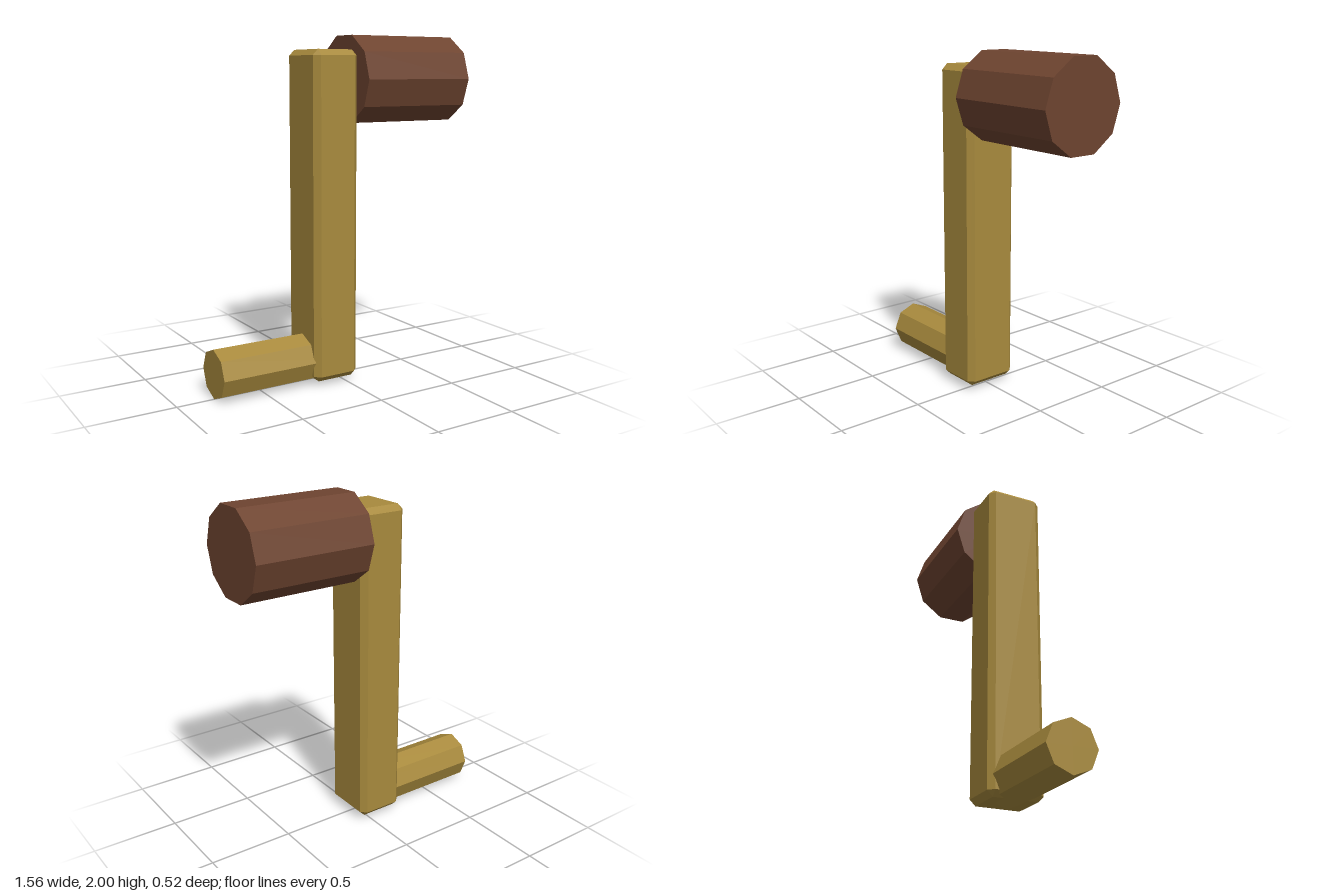
import * as THREE from 'three';
import { ConvexGeometry } from 'three/addons/geometries/ConvexGeometry.js';

// Box with chamfered edges and corners, given half sizes and bevel width
function chamferedBox(hx, hy, hz, b) {
  const points = [];
  for (const x of [-1, 1]) for (const y of [-1, 1]) for (const z of [-1, 1]) {
    points.push(
      new THREE.Vector3(x * hx, y * (hy - b), z * (hz - b)),
      new THREE.Vector3(x * (hx - b), y * hy, z * (hz - b)),
      new THREE.Vector3(x * (hx - b), y * (hy - b), z * hz)
    );
  }
  return new ConvexGeometry(points);
}

// Faceted rod running along x from x0 to x1
function rod(name, x0, x1, y, radius, sides, material) {
  const geometry = new THREE.CylinderGeometry(radius, radius, x1 - x0, sides).toNonIndexed();
  geometry.rotateZ(-Math.PI / 2);
  geometry.computeVertexNormals();
  const mesh = new THREE.Mesh(geometry, material);
  mesh.name = name;
  mesh.position.set((x0 + x1) / 2, y, 0);
  return mesh;
}

export function createModel() {
  const brass = new THREE.MeshStandardMaterial({ color: 0xa88a3d });
  brass.name = 'brass';
  const wood = new THREE.MeshStandardMaterial({ color: 0x6e4430 });
  wood.name = 'brown wood';

  const crank = new THREE.Group();
  crank.name = 'crank';

  // Upright arm
  const arm = new THREE.Mesh(chamferedBox(0.1425, 0.945, 0.165, 0.033), brass);
  arm.name = 'arm';
  arm.position.set(-0.0725, 0.973, 0);

  // Axle at the foot and grip at the top
  crank.add(
    arm,
    rod('axle', -0.78, -0.073, 0.143, 0.143, 8, brass),
    rod('handle', 0.07, 0.78, 1.753, 0.26, 10, wood)
  );
  return crank;
}
